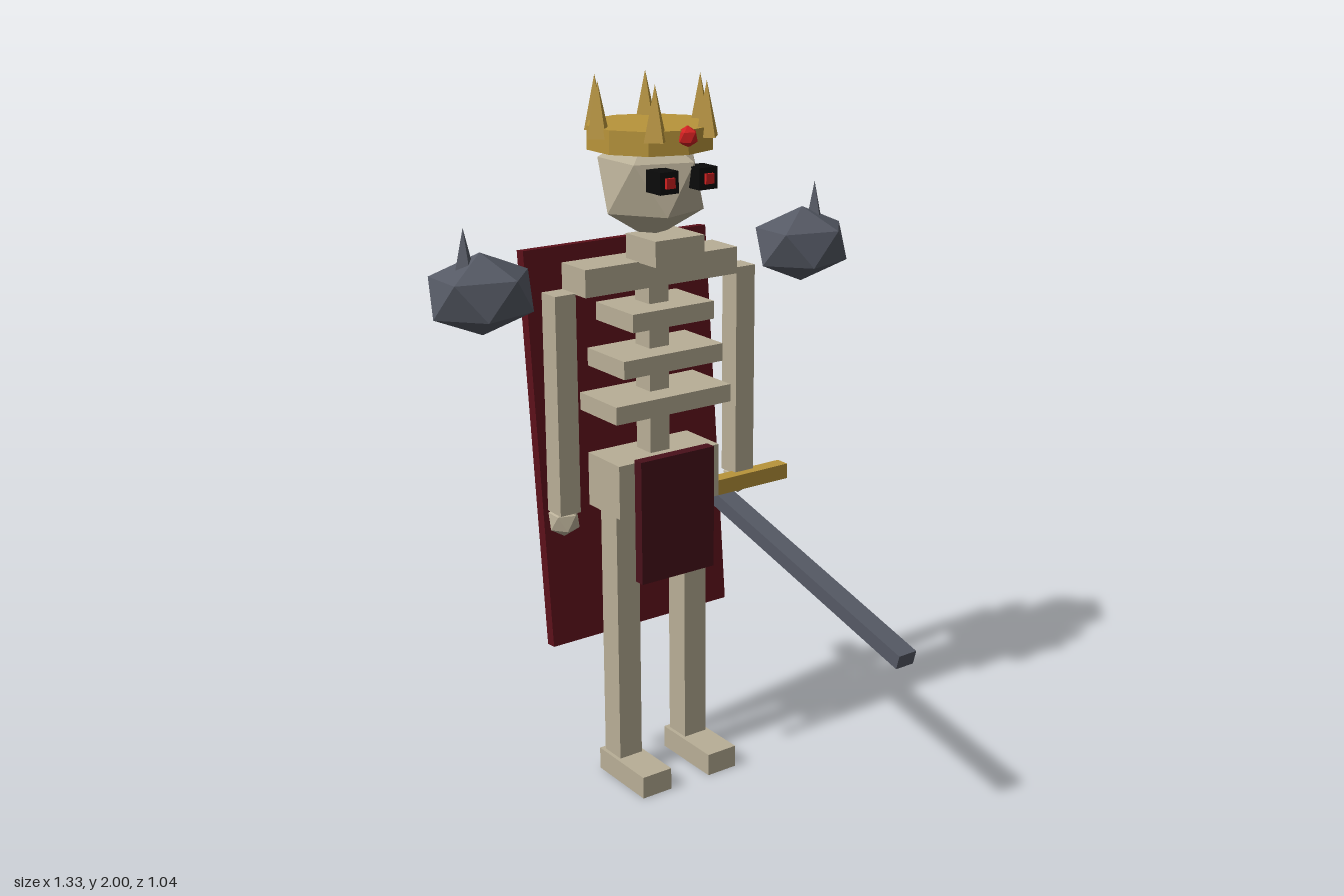
import * as THREE from 'three';
import { ConvexGeometry } from 'three/addons/geometries/ConvexGeometry.js';

const material = (color) => new THREE.MeshStandardMaterial({ color, flatShading: true });

export function createModel() {
  const model = new THREE.Group();
  const bone = material(0xb8ae96), gold = material(0xb8943a), iron = material(0x555964);
  const capeRed = material(0x5c101a), clothRed = material(0x48101a);
  const black = material(0x0a0a0a), red = material(0xd02020);
  const Z = -0.235; // depth of the body axis

  const add = (name, geometry, mat, x, y, z, rx = 0) => {
    const mesh = new THREE.Mesh(geometry, mat);
    mesh.name = name;
    mesh.position.set(x, y, z);
    mesh.rotation.x = rx;
    model.add(mesh);
    return mesh;
  };
  const box = (name, mat, [w, h, d], [x, y, z], rx = 0) =>
    add(name, new THREE.BoxGeometry(w, h, d), mat, x, y, z, rx);

  // Twenty-sided ball standing on a corner: two poles and two rings of five
  const ball = (name, mat, [sx, sy, sz], [x, y, z]) => {
    const points = [new THREE.Vector3(0, sy, 0), new THREE.Vector3(0, -sy, 0)];
    for (let i = 0; i < 5; i++) {
      const a = i * Math.PI * 0.4, c = 0.8944 * Math.cos(a), s = 0.8944 * Math.sin(a);
      points.push(new THREE.Vector3(c * sx, 0.4472 * sy, s * sz));
      points.push(new THREE.Vector3(-c * sx, -0.4472 * sy, -s * sz));
    }
    return add(name, new ConvexGeometry(points), mat, x, y, z);
  };
  const spike = (name, mat, r, bottom, top, x, z) =>
    add(name, new THREE.ConeGeometry(r, top - bottom, 4), mat, x, (top + bottom) / 2, z);

  // Limbs, eyes and floating shoulder balls, on both sides
  for (const [side, s] of [['left', 1], ['right', -1]]) {
    box(`${side}Foot`, bone, [0.097, 0.066, 0.225], [s * 0.115, 0.033, -0.175]);
    box(`${side}Leg`, bone, [0.075, 0.82, 0.078], [s * 0.115, 0.47, Z]);
    box(`${side}Arm`, bone, [0.064, 0.61, 0.066], [s * 0.296, 1.158, Z]);
    ball(`${side}Hand`, bone, [0.047, 0.047, 0.047], [s * 0.298, 0.828, Z]);
    box(`${side}EyeSocket`, black, [0.058, 0.058, 0.065], [s * 0.062, 1.752, -0.092]);
    box(`${side}Pupil`, red, [0.027, 0.027, 0.02], [s * 0.062, 1.752, -0.061]);
    ball(`${side}ShoulderBall`, iron, [0.156, 0.108, 0.132], [s * 0.524, 1.492, Z - 0.003]);
    spike(`${side}ShoulderSpike`, iron, 0.029, 1.55, 1.668, s * 0.569, Z - 0.003);
  }

  // Torso
  box('pelvis', bone, [0.336, 0.154, 0.155], [0, 0.9, -0.232]);
  box('spine', bone, [0.064, 0.6, 0.068], [0, 1.2, Z]);
  [[1.13, 0.38], [1.252, 0.326], [1.376, 0.266]].forEach(([y, w], i) =>
    box(`rib${i + 1}`, bone, [w, 0.05, 0.18], [0, y, -0.22]));
  box('shoulderBar', bone, [0.496, 0.075, 0.116], [0, 1.49, -0.237]);

  // Head
  ball('skull', bone, [0.155, 0.153, 0.164], [0, 1.722, Z]);
  box('jaw', bone, [0.158, 0.07, 0.14], [0, 1.56, -0.17]);

  // Crown
  add('crownBand', new THREE.CylinderGeometry(0.174, 0.174, 0.063, 10), gold, 0, 1.85, Z);
  for (let i = 0; i < 6; i++) {
    const a = i * Math.PI / 3;
    spike(`crownSpike${i + 1}`, gold, 0.036, 1.855, 2, 0.163 * Math.cos(a), Z + 0.163 * Math.sin(a));
  }
  ball('crownJewel', red, [0.029, 0.029, 0.029], [0, 1.865, -0.066]);

  // Cloth
  box('cape', capeRed, [0.604, 1.127, 0.033], [0, 0.983, -0.368], -0.09);
  box('loincloth', clothRed, [0.245, 0.358, 0.032], [0, 0.811, -0.131]);

  // Sword
  box('swordBlade', iron, [0.06, 0.042, 1.063], [0.294, 0.665, 0], 0.262);
  box('swordGuard', gold, [0.27, 0.045, 0.043], [0.299, 0.836, -0.197]);

  return model;
}
